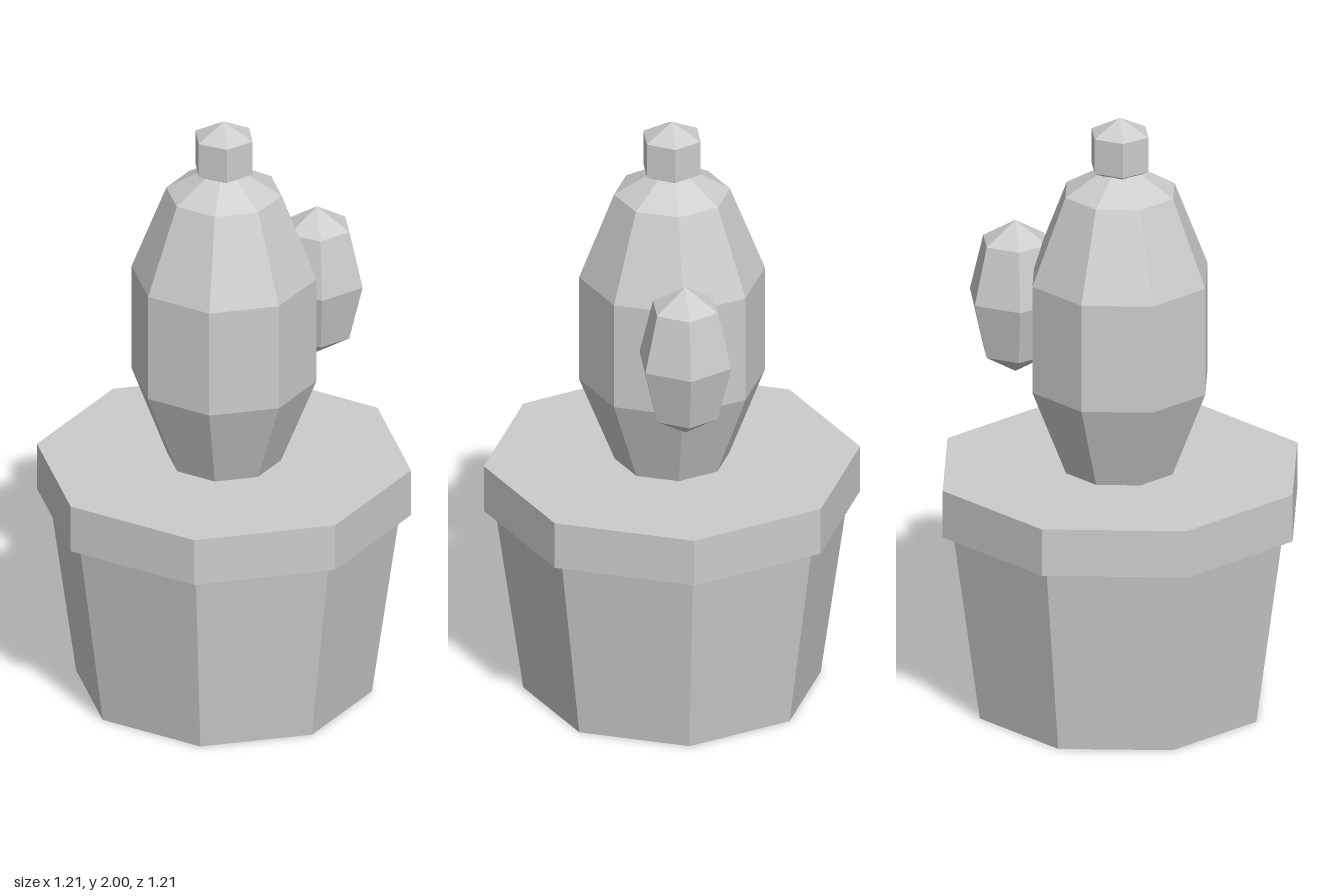
import * as THREE from 'three';

export function createModel() {
  const model = new THREE.Group();
  const grey = new THREE.MeshStandardMaterial({ color: 0xcccccc, flatShading: true });
  grey.name = 'plain grey';

  // Faceted solid of revolution from a bottom-to-top [radius, y] profile,
  // with one corner of the polygon on the +x axis
  function addTurned(name, sides, profile, x = 0) {
    const points = profile.map(([r, y]) => new THREE.Vector2(r, y));
    const mesh = new THREE.Mesh(new THREE.LatheGeometry(points, sides, Math.PI / 2), grey);
    mesh.name = name;
    mesh.position.x = x;
    model.add(mesh);
  }

  // Tapered pot and its overhanging rim, filled level with the top
  addTurned('pot', 8, [[0, 0], [0.48, 0], [0.57, 0.64]]);
  addTurned('potRim', 8, [[0.57, 0.64], [0.607, 0.64], [0.607, 0.8], [0, 0.8]]);

  // Barrel-shaped cactus stem
  addTurned('cactusStem', 8, [
    [0, 0.8], [0.185, 0.803], [0.3, 1.095], [0.3, 1.46], [0.187, 1.75], [0, 1.86],
  ]);

  // Side shoot, partly sunk into the stem
  addTurned('sideShoot', 6, [
    [0, 1.07], [0.113, 1.14], [0.16, 1.33], [0.113, 1.52], [0, 1.59],
  ], 0.368);

  // Bud on top
  addTurned('topBud', 6, [[0, 1.78], [0.1, 1.83], [0.1, 1.948], [0, 2]]);

  return model;
}
